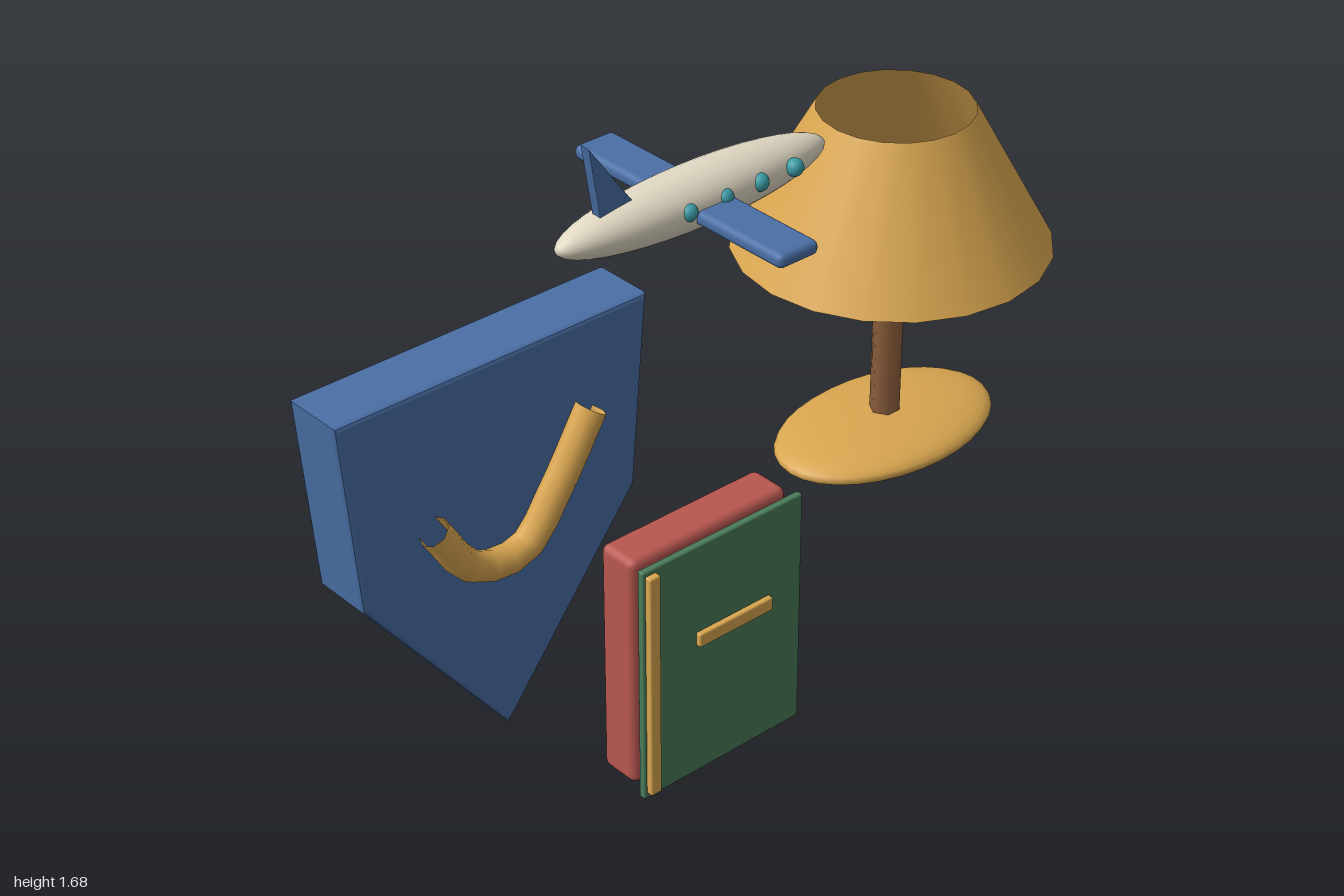
import * as THREE from 'three';
import { RoundedBoxGeometry } from 'three/addons/geometries/RoundedBoxGeometry.js';

const paint = (name, color, side = THREE.FrontSide) => {
  const m = new THREE.MeshStandardMaterial({ color, side });
  m.name = name;
  return m;
};

export function createModel() {
  const blue = paint('blue', 0x4a6fa5);
  const gold = paint('gold', 0xd9a650, THREE.DoubleSide);
  const green = paint('green', 0x4a7c59);
  const red = paint('red', 0xb85750);
  const cream = paint('cream', 0xe0d8c3);
  const brown = paint('brown', 0x8b5e3c);
  const teal = paint('teal', 0x3a9ca6);

  const model = new THREE.Group();
  const group = (name) => {
    const g = new THREE.Group();
    g.name = name;
    model.add(g);
    return g;
  };
  const add = (parent, name, geometry, material, x = 0, y = 0, z = 0) => {
    const mesh = new THREE.Mesh(geometry, material);
    mesh.name = name;
    mesh.position.set(x, y, z);
    parent.add(mesh);
    return mesh;
  };
  // Rounded box given by its lower and upper limits
  const block = (parent, name, material, [x0, x1], [y0, y1], [z0, z1], r) =>
    add(parent, name, new RoundedBoxGeometry(x1 - x0, y1 - y0, z1 - z0, 2, r), material,
      (x0 + x1) / 2, (y0 + y1) / 2, (z0 + z1) / 2);
  // Outline extruded evenly about z = 0, with the bevel inside the outline
  const slab = (points, depth, bevel) => {
    const shape = new THREE.Shape(points.map(([x, y]) => new THREE.Vector2(x, y)));
    const g = new THREE.ExtrudeGeometry(shape, {
      depth: depth - 2 * bevel, bevelEnabled: bevel > 0, bevelSize: bevel,
      bevelThickness: bevel, bevelOffset: -bevel, bevelSegments: 2,
    });
    return g.translate(0, 0, bevel - depth / 2);
  };

  // Pennant-shaped pocket with a curved trim
  const pocket = group('pocket');
  add(pocket, 'pocketPanel', slab([
    [-1, 1.335], [-0.96, 0.87], [-0.595, 0.4], [-0.228, 0.87], [-0.188, 1.335],
  ], 0.155, 0.01), blue);
  const curve = new THREE.CatmullRomCurve3([
    [-0.79, 1.01], [-0.69, 0.875], [-0.56, 0.862], [-0.465, 0.975], [-0.365, 1.135],
  ].map(([x, y]) => new THREE.Vector3(x, y, 0.1)));
  add(pocket, 'pocketTrim', new THREE.TubeGeometry(curve, 12, 0.036, 8), gold);

  // Book
  const book = group('book');
  block(book, 'backCover', red, [-0.22, 0.255], [0.005, 0.637], [-0.057, 0.055], 0.02);
  block(book, 'pages', cream, [-0.2, 0.235], [0.042, 0.6], [0.04, 0.085], 0.012);
  block(book, 'frontCover', green, [-0.23, 0.257], [0, 0.642], [0.085, 0.104], 0.005);
  block(book, 'spineBand', gold, [-0.222, -0.19], [0.015, 0.63], [0.1, 0.121], 0.005);
  block(book, 'titleBar', gold, [-0.07, 0.157], [0.367, 0.404], [0.1, 0.118], 0.005);

  // Table lamp
  const lamp = group('lamp');
  lamp.position.x = 0.62;
  add(lamp, 'lampBase', new THREE.SphereGeometry(1, 32, 16), gold, 0, 0.627, 0)
    .scale.set(0.31, 0.05, 0.195);
  add(lamp, 'lampPost', new THREE.CylinderGeometry(0.037, 0.037, 0.58, 6), brown, 0, 0.93, 0)
    .rotation.y = Math.PI / 2;
  add(lamp, 'lampShade', new THREE.CylinderGeometry(0.183, 0.375, 0.345, 20, 1, true), gold,
    0, 1.303, 0);

  // Airplane
  const plane = group('airplane');
  add(plane, 'fuselage', new THREE.SphereGeometry(1, 32, 20).rotateZ(Math.PI / 2), cream,
    0.012, 1.467, 0).scale.set(0.38, 0.068, 0.078);
  block(plane, 'wings', blue, [-0.045, 0.068], [1.441, 1.476], [-0.335, 0.335], 0.015);
  add(plane, 'tailFin', slab([
    [-0.287, 1.685], [-0.25, 1.46], [-0.145, 1.49],
  ], 0.026, 0.003), blue);
  for (let i = 0; i < 4; i++) {
    add(plane, 'window', new THREE.SphereGeometry(0.021, 16, 12), teal,
      -0.06 + i * 0.102, 1.477, 0.066);
  }
  return model;
}
